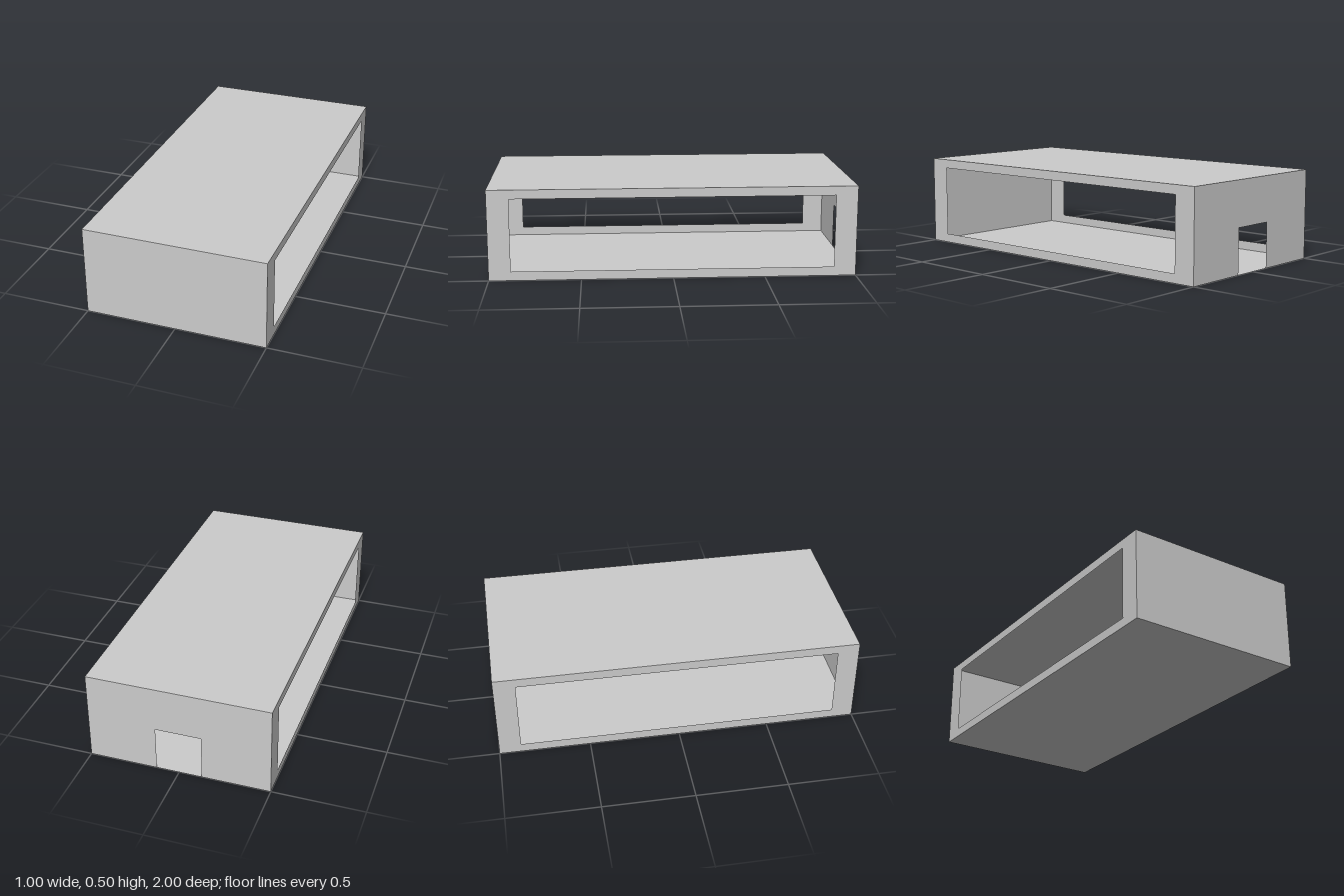
import * as THREE from 'three';

const W = 1, H = 0.5, L = 2; // width (x), height (y), length (z)

// Closed shape from corner pairs
const outline = (pts, Type = THREE.Shape) => new Type(pts.map(([x, y]) => new THREE.Vector2(x, y)));
const rect = (x0, y0, x1, y1) => [[x0, y0], [x1, y0], [x1, y1], [x0, y1]];

export function createModel() {
  const group = new THREE.Group();
  const material = new THREE.MeshStandardMaterial({ color: 0xcccccc, side: THREE.DoubleSide });

  const addPanel = (name, geometry) => {
    const mesh = new THREE.Mesh(geometry, material);
    mesh.name = name;
    group.add(mesh);
    return mesh;
  };

  // Roof and floor: thin sheets
  addPanel('roof', new THREE.PlaneGeometry(W, L).rotateX(-Math.PI / 2)).position.y = H;
  addPanel('floor', new THREE.PlaneGeometry(W, L).rotateX(Math.PI / 2));

  // Closed front wall
  addPanel('frontWall', new THREE.PlaneGeometry(W, H)).position.set(0, H / 2, L / 2);

  // Back wall with a doorway reaching the floor
  const back = outline([
    [-W / 2, 0], [-0.125, 0], [-0.125, 0.25], [0.125, 0.25],
    [0.125, 0], [W / 2, 0], [W / 2, H], [-W / 2, H],
  ]);
  addPanel('backWall', new THREE.ShapeGeometry(back).rotateY(Math.PI)).position.z = -L / 2;

  // Side walls, each with one long window opening
  for (const [name, side] of [['leftWall', 1], ['rightWall', -1]]) {
    const wall = outline(rect(-L / 2, 0, L / 2, H));
    wall.holes.push(outline(rect(-0.88, 0.05, 0.88, 0.45), THREE.Path));
    addPanel(name, new THREE.ShapeGeometry(wall).rotateY(side * Math.PI / 2)).position.x = side * W / 2;
  }

  return group;
}
